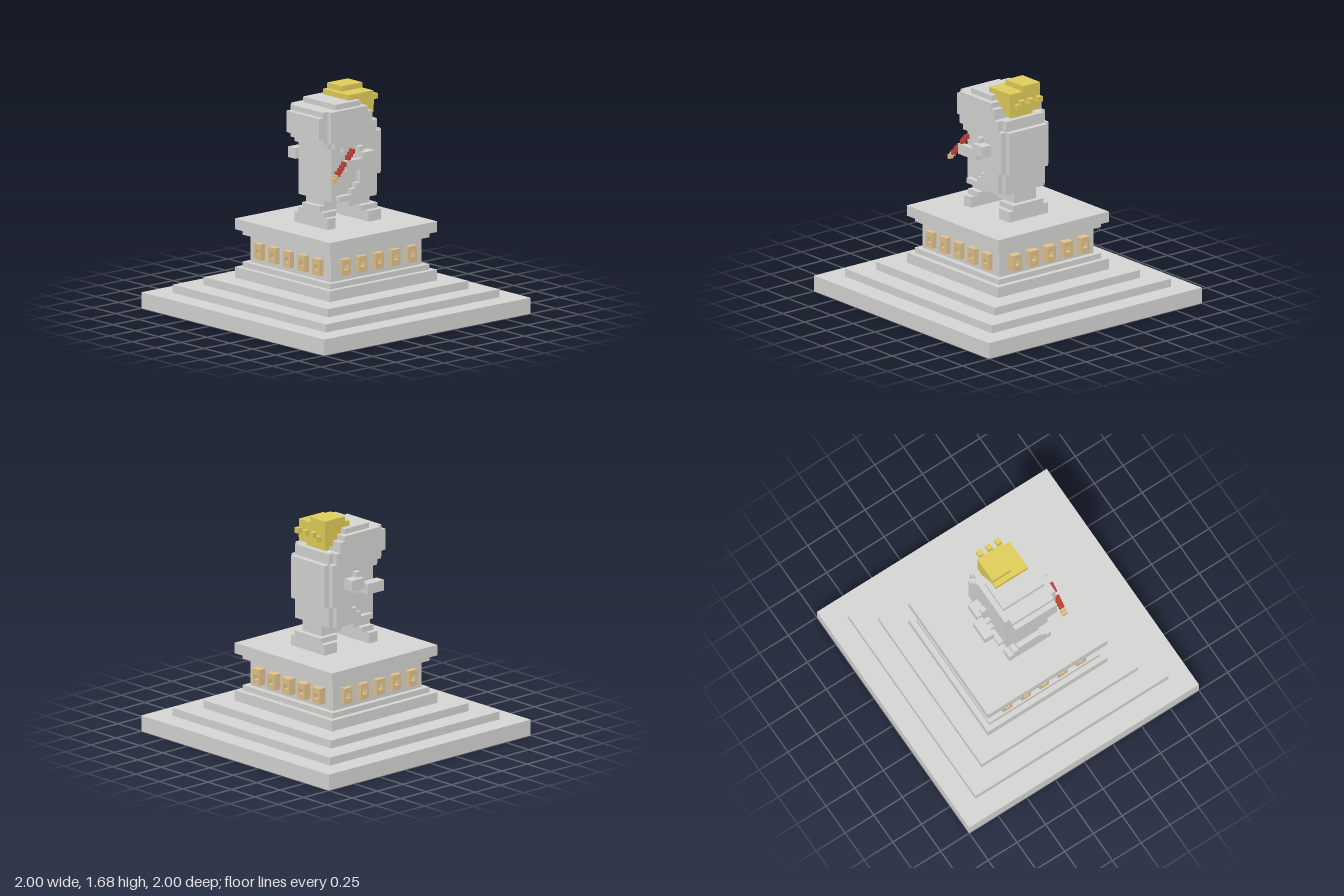
import * as THREE from 'three';

export function createModel() {
  const model = new THREE.Group();
  const mat = (name, color) => {
    const m = new THREE.MeshStandardMaterial({ color });
    m.name = name;
    return m;
  };
  const stone = mat('stone grey', 0xd6d6d4);
  const gold = mat('gold', 0xe1ce5b);
  const tan = mat('tan', 0xe2c38d);
  const red = mat('red', 0xc64237);

  const add = (name, geometry, material, parent = model) => {
    const mesh = new THREE.Mesh(geometry, material);
    mesh.name = name;
    parent.add(mesh);
    return mesh;
  };
  // Box given by its minimum and maximum on each axis
  const box = (name, x0, x1, y0, y1, z0, z1, material = stone) =>
    add(name, new THREE.BoxGeometry(x1 - x0, y1 - y0, z1 - z0), material)
      .position.set((x0 + x1) / 2, (y0 + y1) / 2, (z0 + z1) / 2);
  // Stepped outline in x and y, given thickness along z
  const slab = (name, points, z0, z1, material = stone) => {
    const shape = new THREE.Shape(points.map(([x, y]) => new THREE.Vector2(x, y)));
    const g = new THREE.ExtrudeGeometry(shape, { depth: z1 - z0, bevelEnabled: false });
    add(name, g.translate(0, 0, z0), material);
  };

  // Stepped pedestal: half width, bottom, top
  [[1, 0, 0.12], [0.84, 0.12, 0.18], [0.68, 0.18, 0.24], [0.52, 0.24, 0.32], [0.48, 0.32, 0.36],
    [0.44, 0.36, 0.56], [0.48, 0.56, 0.6], [0.52, 0.6, 0.68]].forEach(([h, y0, y1], i) =>
    box(`pedestalTier${i + 1}`, -h, h, y0, y1, -h, h));

  // Five square frames on each side of the pedestal
  const frame = new THREE.Shape();
  frame.moveTo(-0.04, 0.4).lineTo(0.04, 0.4).lineTo(0.04, 0.52).lineTo(-0.04, 0.52);
  const hole = new THREE.Path();
  hole.moveTo(-0.02, 0.44).lineTo(-0.02, 0.48).lineTo(0.02, 0.48).lineTo(0.02, 0.44);
  frame.holes.push(hole);
  for (let side = 0; side < 4; side++) {
    const row = new THREE.Group();
    row.name = 'frameRow';
    row.rotation.y = side * Math.PI / 2;
    model.add(row);
    const frameGeo = new THREE.ExtrudeGeometry(frame, { depth: side === 1 ? 0.06 : 0.04, bevelEnabled: false });
    for (let i = -2; i <= 2; i++) add('frame', frameGeo, tan, row).position.set(i * 0.16, 0, 0.44);
  }

  // Legs widen in steps towards the feet
  box('leftFoot', 0.14, 0.26, 0.68, 0.76, -0.16, 0.2);
  box('leftAnkle', 0.1, 0.26, 0.76, 0.8, -0.12, 0.16);
  box('leftLeg', 0.02, 0.22, 0.8, 0.84, -0.08, 0.12);
  box('rightFoot', -0.26, -0.18, 0.68, 0.76, -0.16, 0.2);
  box('rightAnkle', -0.26, -0.14, 0.76, 0.8, -0.12, 0.16);
  box('rightLeg', -0.26, -0.1, 0.8, 0.84, -0.08, 0.12);
  box('hips', -0.22, 0.22, 0.84, 0.88, -0.08, 0.12);

  // Body with the head leaning towards -x
  slab('body', [[-0.22, 0.88], [0.22, 0.88], [0.22, 1.44], [0.14, 1.44], [0.14, 1.52], [0.1, 1.52],
    [0.1, 1.56], [0.06, 1.56], [0.06, 1.6], [-0.18, 1.6], [-0.18, 1.56], [-0.3, 1.56], [-0.3, 1.52],
    [-0.34, 1.52], [-0.34, 1.36], [-0.3, 1.36], [-0.3, 1.32], [-0.26, 1.32], [-0.26, 1.28],
    [-0.22, 1.28]], -0.16, 0.2);
  box('backPlate', 0.22, 0.26, 1.04, 1.36, -0.16, 0.2);

  // Matching open robe and arm on both faces of the body
  const robe = [[-0.18, 0.88], [0.18, 0.88], [0.18, 1.04], [0.22, 1.04], [0.22, 1.36], [0.18, 1.36],
    [0.18, 1.44], [0.14, 1.44], [0.14, 1.52], [0.1, 1.52], [0.1, 1.56], [-0.26, 1.56], [-0.26, 1.32],
    [-0.22, 1.32], [-0.22, 1.28], [-0.14, 1.28], [-0.14, 1.24], [-0.02, 1.24], [-0.02, 1.12],
    [0.02, 1.12], [0.02, 1], [-0.02, 1], [-0.02, 0.96], [-0.06, 0.96], [-0.06, 0.92], [-0.18, 0.92]];
  slab('frontRobe', robe, 0.2, 0.24);
  slab('rearRobe', robe, -0.2, -0.16);
  const sleeve = [[-0.02, 1.12], [0.02, 1.12], [0.02, 1.16], [0.1, 1.16], [0.1, 1.24], [0.02, 1.24],
    [0.02, 1.28], [-0.02, 1.28]];
  slab('frontSleeve', sleeve, 0.24, 0.28);
  slab('rearSleeve', sleeve, -0.24, -0.2);
  slab('frontForearm', [[-0.18, 1.12], [0.02, 1.12], [0.02, 1.16], [0.1, 1.16], [0.1, 1.24],
    [-0.02, 1.24], [-0.02, 1.2], [-0.18, 1.2]], 0.28, 0.32);
  box('rearElbow', -0.02, 0.1, 1.16, 1.24, -0.28, -0.24);
  box('rearForearm', -0.18, -0.02, 1.12, 1.2, -0.32, -0.24);

  // Slanting stick, stepped block by block, with a gap where the front hand grips it
  for (let i = 0; i < 10; i++) {
    if (i === 3) continue;
    const x = -0.1 - 0.02 * i, y = 1.28 - 0.0215 * i;
    const isTip = i > 7;
    box(isTip ? 'stickTip' : 'stick', x - 0.02, x, y - 0.034, y, 0.28, 0.32, isTip ? tan : red);
  }

  // Golden headpiece with three prongs
  slab('headpiece', [[-0.02, 1.6], [0.06, 1.6], [0.06, 1.56], [0.1, 1.56], [0.1, 1.52], [0.14, 1.52],
    [0.14, 1.48], [0.22, 1.48], [0.22, 1.64], [-0.02, 1.64]], -0.12, 0.16, gold);
  box('headpieceTop', 0.02, 0.22, 1.64, 1.68, -0.12, 0.04, gold);
  box('headpieceBase', 0.14, 0.18, 1.44, 1.48, -0.08, 0.12, gold);
  box('prongBar', 0.22, 0.26, 1.52, 1.56, -0.08, 0.12, gold);
  for (const z of [-0.08, 0, 0.08]) box('prong', 0.26, 0.3, 1.56, 1.6, z, z + 0.04, gold);

  return model;
}
